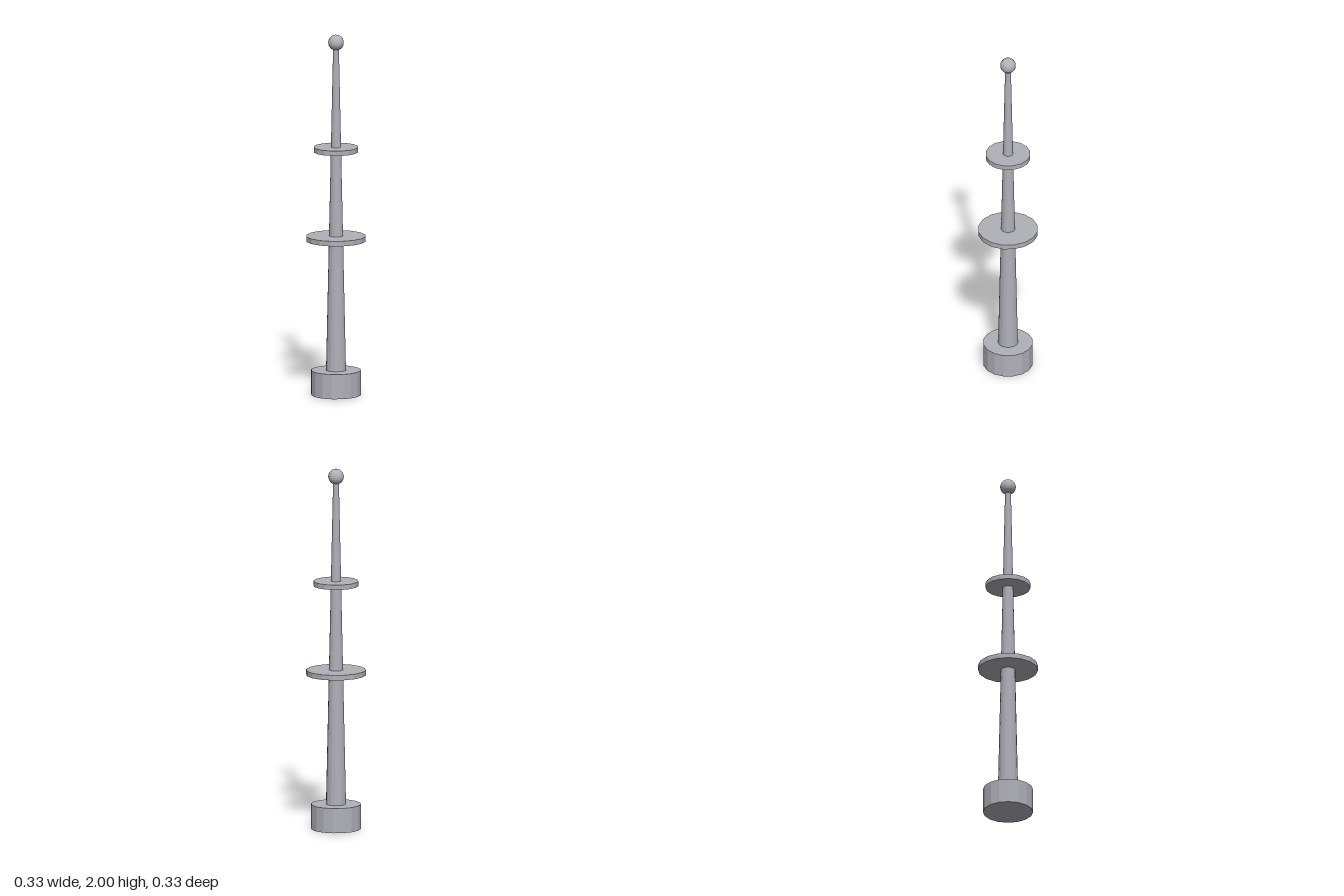
import * as THREE from 'three';

export function createModel() {
  const group = new THREE.Group();
  group.name = 'antennaMast';
  const metal = new THREE.MeshStandardMaterial({ color: 0xb0b0b8, flatShading: true });
  metal.name = 'pale grey metal';

  const add = (name, geometry, y) => {
    const mesh = new THREE.Mesh(geometry, metal);
    mesh.name = name;
    mesh.position.y = y;
    group.add(mesh);
  };
  // Upright round part from y = bottom to y = top
  const column = (name, rTop, rBottom, bottom, top, sides = 16) =>
    add(name, new THREE.CylinderGeometry(rTop, rBottom, top - bottom, sides), (top + bottom) / 2);

  column('base', 0.137, 0.137, 0, 0.137);
  column('mast', 0.016, 0.055, 0.137, 1.93);
  column('lowerDisc', 0.164, 0.164, 0.855, 0.883);
  column('upperDisc', 0.123, 0.123, 1.35, 1.377);

  // Ball finial at the tip
  add('tipBall', new THREE.SphereGeometry(0.043, 16, 12), 1.957);
  return group;
}
